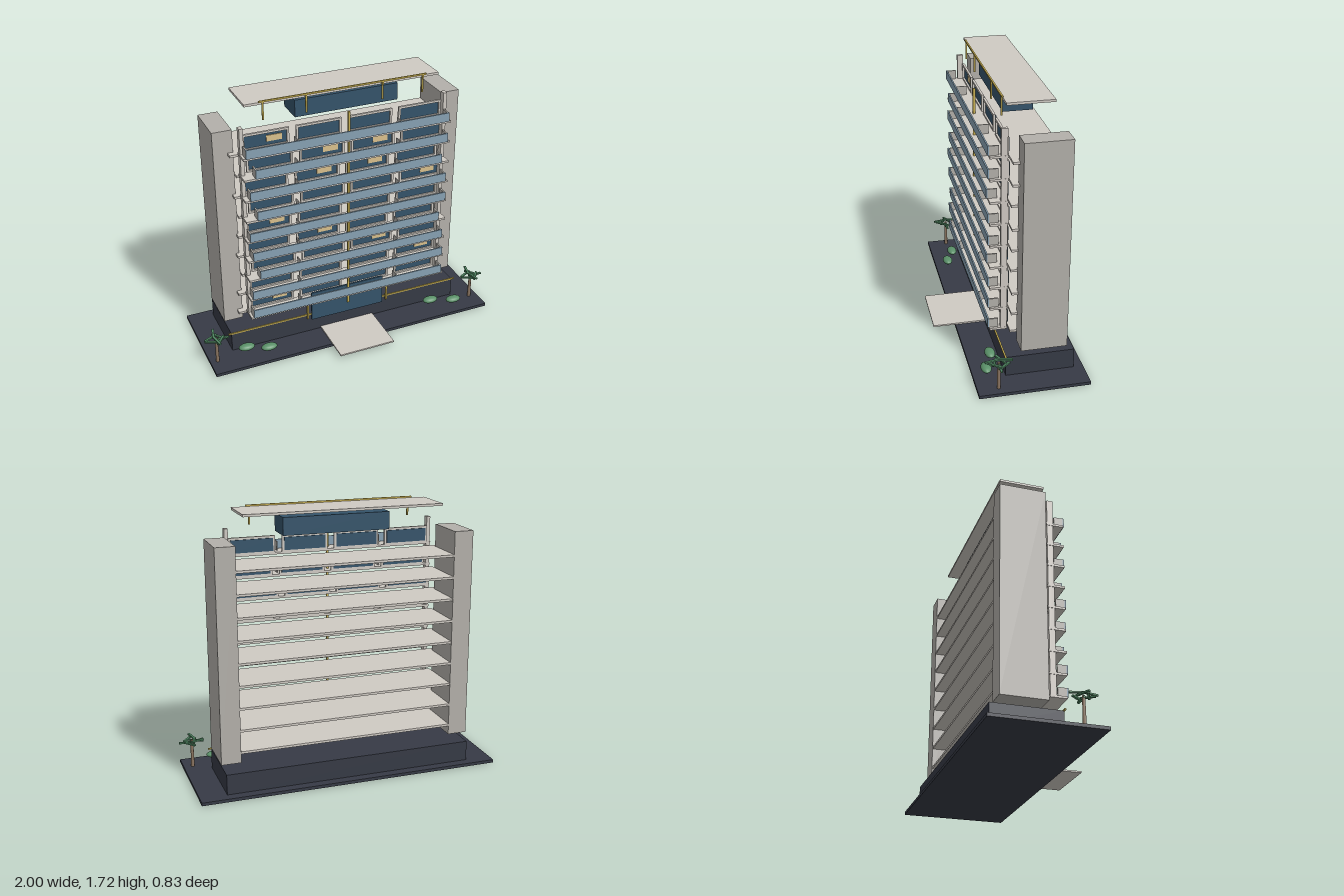
import * as THREE from 'three';

const mat = (color) => new THREE.MeshStandardMaterial({ color });
const M = {
  concrete: mat(0xcfcac3), tower: mat(0xb3b0aa), dark: mat(0x363a45), glass: mat(0x34536a),
  parapet: mat(0x86a0b2), gold: mat(0xc8b052), blind: mat(0xd9c08c), leaf: mat(0x4f8561),
  bush: mat(0x5a9068), trunk: mat(0x8b7560),
};

export function createModel() {
  const root = new THREE.Group();
  root.name = 'apartmentBlock';

  // box given by its extents on each axis
  function box(name, m, x0, x1, y0, y1, z0, z1, parent = root) {
    const mesh = new THREE.Mesh(new THREE.BoxGeometry(x1 - x0, y1 - y0, z1 - z0), m);
    mesh.position.set((x0 + x1) / 2, (y0 + y1) / 2, (z0 + z1) / 2);
    mesh.name = name;
    parent.add(mesh);
    return mesh;
  }

  // ground, podium and path
  box('groundSlab', M.dark, -0.97, 0.98, 0, 0.02, -0.42, 0.265);
  box('podium', M.dark, -0.8, 0.81, 0.02, 0.15, -0.36, 0.068);
  box('entrancePath', M.concrete, -0.18, 0.2, 0.022, 0.032, 0.06, 0.41);
  box('podiumTrim', M.gold, -0.82, 0.83, 0.148, 0.157, 0.064, 0.074);

  // side towers
  box('rightTower', M.tower, -0.815, -0.69, 0.195, 1.54, -0.307, -0.022);
  box('leftTower', M.tower, 0.703, 0.828, 0.195, 1.54, -0.307, -0.022);

  // entrance
  box('entranceGlass', M.glass, -0.25, 0.262, 0.12, 0.33, 0.078, 0.09);
  for (const x of [-0.28, 0.29]) box('entrancePost', M.gold, x - 0.006, x + 0.006, 0.14, 0.29, 0.088, 0.1);
  box('entranceBeam', M.gold, -0.286, 0.296, 0.28, 0.29, 0.088, 0.1);

  // facade uprights
  for (const x of [-0.665, 0.677]) box('facadeColumn', M.concrete, x - 0.012, x + 0.012, 0.28, 1.58, 0.036, 0.074);
  box('centrePost', M.gold, 0.003, 0.016, 0.195, 1.58, 0.086, 0.101);

  // per floor: parapet start, parapet end, slab start, slab end, blind positions
  const floors = [
    [-0.665, 0.676, -0.725, 0.70, [-0.45]],
    [-0.665, 0.676, -0.72, 0.73, [0.57]],
    [-0.61, 0.667, -0.69, 0.735, [0.255]],
    [-0.65, 0.635, -0.71, 0.705, [-0.13]],
    [-0.665, 0.676, -0.70, 0.72, [-0.45]],
    [-0.61, 0.67, -0.69, 0.73, [0.592]],
    [-0.65, 0.635, -0.71, 0.705, [-0.13, 0.215]],
    [-0.61, 0.67, -0.69, 0.735, [-0.087, 0.25]],
    [-0.665, 0.672, -0.725, 0.74, [-0.45]],
  ];
  floors.forEach(([a, b, s0, s1, blinds], i) => {
    const g = new THREE.Group();
    g.name = 'floor' + (i + 1);
    g.position.y = i * 0.141;
    root.add(g);
    box('floorSlab', M.concrete, s0, s1, 0.251, 0.266, -0.305, 0.018, g);

    // balcony
    box('balconyFloor', M.concrete, -0.68, 0.69, 0.275, 0.289, 0.032, 0.14, g);
    box('balconyParapet', M.parapet, a, b, 0.289, 0.348, 0.141, 0.15, g);
    for (const x of [a, b - 0.01]) box('balconyCheek', M.tower, x, x + 0.01, 0.289, 0.347, 0.085, 0.141, g);
    for (const x of [-0.335, 0.345]) box('balconyDivider', M.tower, x - 0.003, x + 0.003, 0.289, 0.347, 0.075, 0.141, g);

    // framed windows, following the balcony's shift
    const shift = a > -0.63 ? 0.02 : a > -0.66 ? -0.015 : 0;
    for (let k = 0; k < 4; k++) {
      const c = 0.008 + shift + (k - 1.5) * 0.341, w = 0.134;
      box('windowGlass', M.glass, c - w, c + w, 0.3, 0.381, 0.02, 0.03, g);
      for (const s of [-1, 1]) {
        const x = c + s * (w + 0.007);
        box('windowJamb', M.concrete, x - 0.007, x + 0.007, 0.289, 0.395, 0.027, 0.042, g);
      }
      box('windowHead', M.concrete, c - w, c + w, 0.381, 0.395, 0.027, 0.042, g);
      box('windowSill', M.concrete, c - w, c + w, 0.289, 0.3, 0.027, 0.042, g);
    }
    for (const x of blinds) box('windowBlind', M.blind, x - 0.049, x + 0.049, 0.325, 0.364, 0.031, 0.037, g);
  });

  // rooftop
  box('penthouse', M.glass, -0.3, 0.38, 1.558, 1.668, -0.183, -0.002);
  box('roofCanopy', M.concrete, -0.628, 0.642, 1.695, 1.71, -0.248, 0.036);
  box('canopyRail', M.gold, -0.54, 0.553, 1.71, 1.72, 0.034, 0.044);
  for (const x of [-0.515, -0.242, 0.257, 0.53]) box('canopyPost', M.gold, x - 0.005, x + 0.005, 1.598, 1.715, 0.034, 0.044);

  // palms with criss-crossing fronds
  for (const side of [-1, 1]) {
    const palm = new THREE.Group();
    palm.name = side < 0 ? 'rightPalm' : 'leftPalm';
    palm.position.set(side * 0.921, 0, 0.135);
    root.add(palm);
    const trunk = new THREE.Mesh(new THREE.CylinderGeometry(0.009, 0.012, 0.18, 8), M.trunk);
    trunk.name = 'palmTrunk';
    trunk.position.y = 0.11;
    palm.add(trunk);
    for (let i = 0; i < 7; i++) {
      const t = (i / 7) * Math.PI * 2;
      const frond = box('palmFrond', M.leaf, -0.048, 0.048, -0.005, 0.005, -0.007, 0.007, palm);
      frond.position.set(Math.cos(t) * 0.035, 0.2 + ((i % 3) - 1) * 0.011, Math.sin(t) * 0.038);
      frond.rotation.y = t;
    }
  }

  // bushes
  for (const [x, z] of [[-0.72, 0.125], [-0.585, 0.18], [0.617, 0.125], [0.767, 0.18]]) {
    const bush = new THREE.Mesh(new THREE.SphereGeometry(1, 16, 10), M.bush);
    bush.name = 'bush';
    bush.scale.set(0.054, 0.021, 0.033);
    bush.position.set(x, 0.064, z);
    root.add(bush);
  }
  return root;
}
